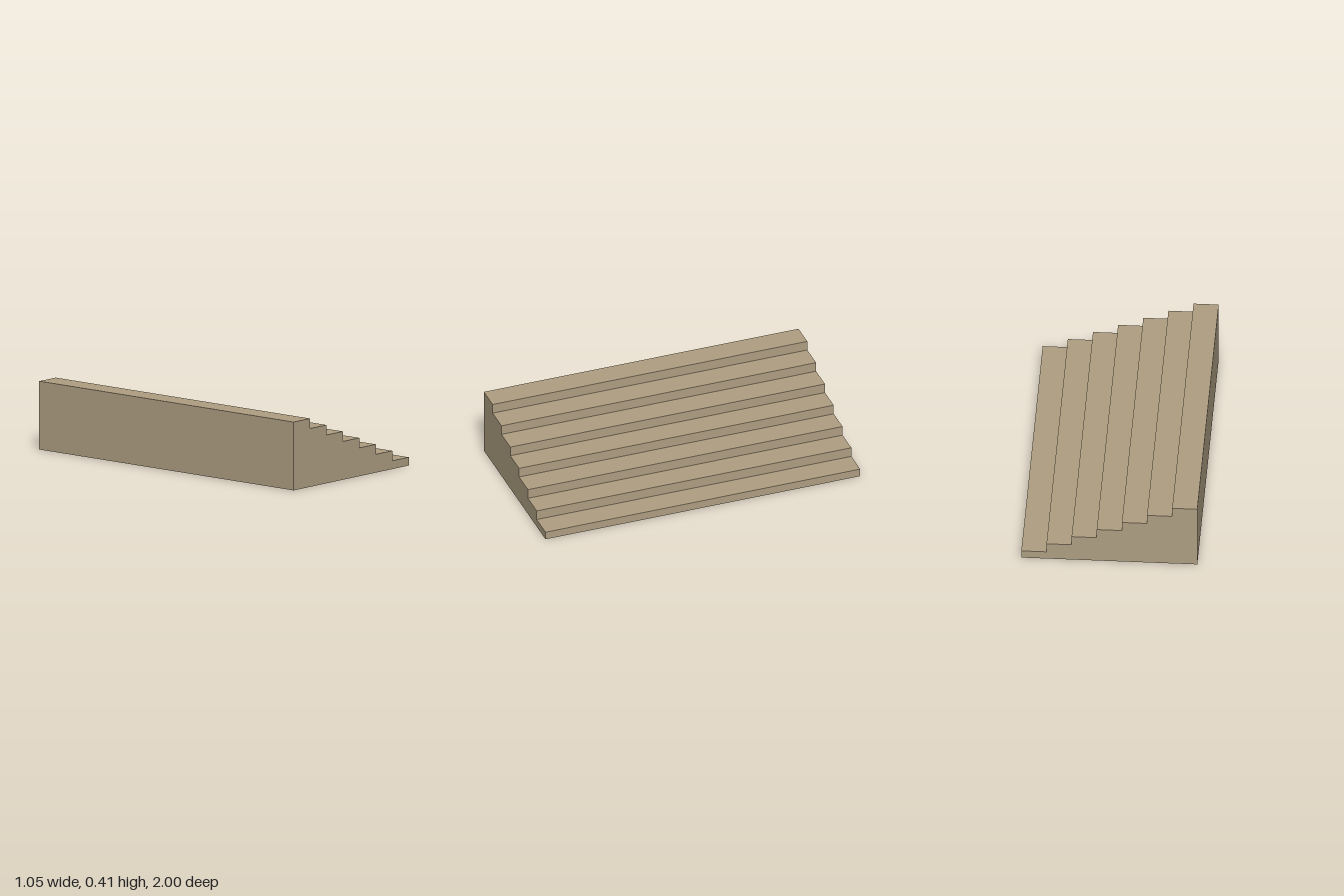
import * as THREE from 'three';

export function createModel() {
  const model = new THREE.Group();
  model.name = 'staircase';
  const stone = new THREE.MeshStandardMaterial({ color: 0xae9e82 });
  stone.name = 'tan stone';

  const steps = 7, tread = 0.15, riser = 0.0607, lowest = 0.05, length = 2;
  const half = (steps * tread) / 2;

  // Stepped profile, climbing from the low +x edge to the high -x edge
  const profile = new THREE.Shape();
  profile.moveTo(-half, 0);
  profile.lineTo(half, 0);
  for (let i = 0; i < steps; i++) {
    const y = lowest + i * riser;
    profile.lineTo(half - i * tread, y);
    profile.lineTo(half - (i + 1) * tread, y);
  }
  profile.closePath();

  // One solid flight, extruded along z
  const geometry = new THREE.ExtrudeGeometry(profile, { depth: length, bevelEnabled: false });
  geometry.translate(0, 0, -length / 2);
  const flight = new THREE.Mesh(geometry, stone);
  flight.name = 'steps';
  model.add(flight);
  return model;
}
